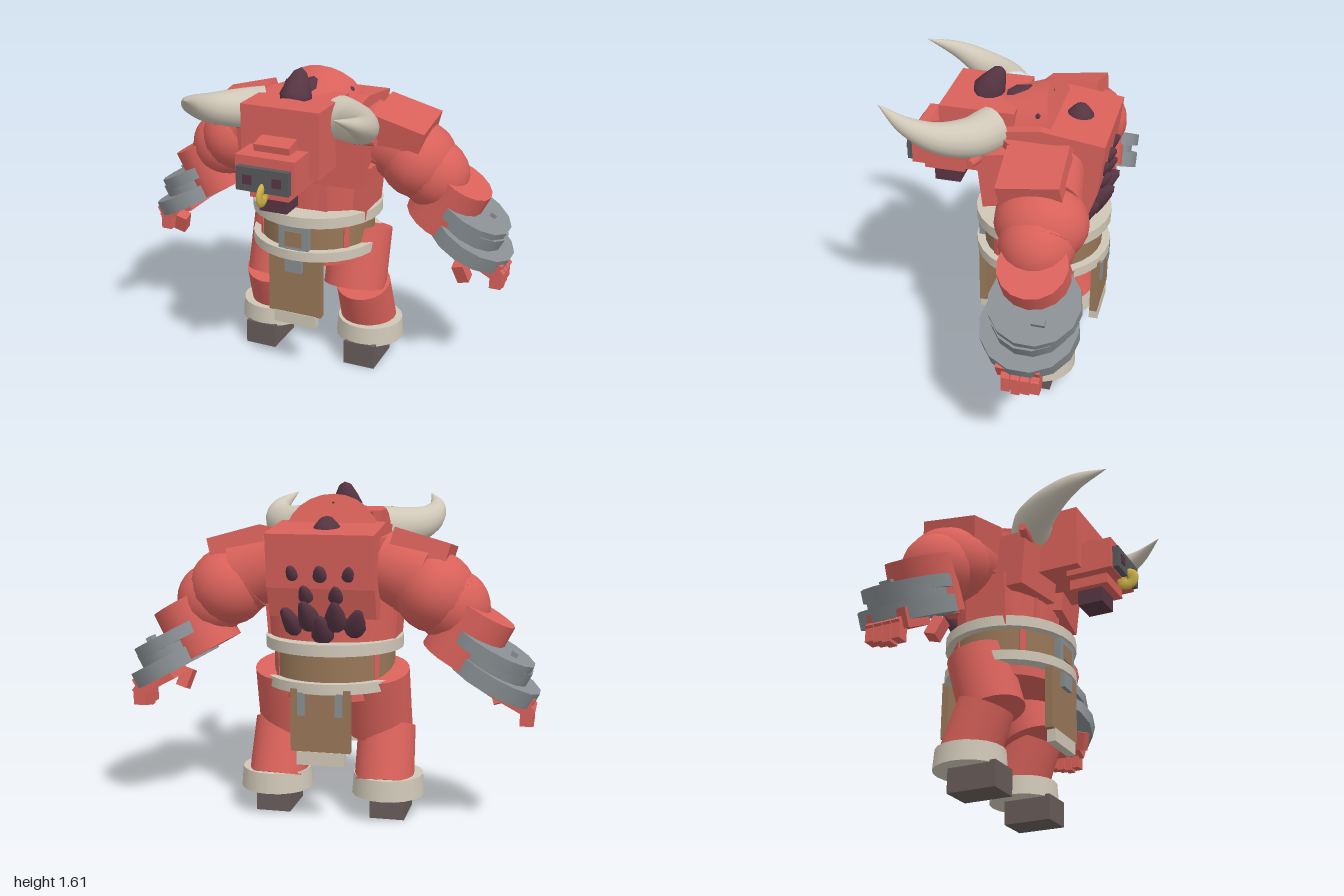
import * as THREE from 'three';

const mat = (name, color) => {
  const m = new THREE.MeshStandardMaterial({ color });
  m.name = name;
  return m;
};

export function createModel() {
  const model = new THREE.Group();
  model.name = 'hornedBrute';
  const skin = mat('red skin', 0xd8615a);
  const fur = mat('pale fur and horn', 0xcfc7b7);
  const leather = mat('brown leather', 0x987758);
  const steel = mat('grey steel', 0x888e92);
  const hoofMat = mat('dark hoof', 0x675c5a);
  const spikeMat = mat('dark purple spike', 0x573543);
  const gold = mat('gold', 0xcfb249);
  const noseMat = mat('nose grey', 0x59595c);

  const add = (name, geo, m, pos = [0, 0, 0], rot = [0, 0, 0]) => {
    const mesh = new THREE.Mesh(geo, m);
    mesh.name = name;
    mesh.position.set(...pos);
    mesh.rotation.set(...rot);
    model.add(mesh);
    return mesh;
  };
  const box = (name, m, size, pos, rot) => add(name, new THREE.BoxGeometry(...size), m, pos, rot);
  // Tapered cylinder running from point a to point b
  const rod = (name, m, a, b, ra, rb, sides = 24) => {
    const A = new THREE.Vector3(...a), B = new THREE.Vector3(...b);
    const dir = B.clone().sub(A);
    const mesh = add(name, new THREE.CylinderGeometry(rb, ra, dir.length(), sides), m);
    mesh.position.copy(A).add(B).multiplyScalar(0.5);
    mesh.quaternion.setFromUnitVectors(new THREE.Vector3(0, 1, 0), dir.normalize());
    return mesh;
  };
  // Bullet-shaped spike
  const spike = (pos, dir, r, h) => {
    const pts = [[r * 0.9, -h * 0.1], [r, 0.08 * h], [r * 0.75, h * 0.45], [r * 0.4, h * 0.85], [0, h]].map(p => new THREE.Vector2(...p));
    const mesh = add('spike', new THREE.LatheGeometry(pts, 12), spikeMat, pos);
    mesh.quaternion.setFromUnitVectors(new THREE.Vector3(0, 1, 0), new THREE.Vector3(...dir).normalize());
  };

  // Torso: round trunk plus a hunched upper back cut from a side profile (z, y)
  const trunk = add('trunk', new THREE.CylinderGeometry(0.34, 0.31, 0.54, 24), skin, [0, 1.1, -0.19]);
  trunk.scale.z = 0.76;
  const hump = new THREE.Shape([[-0.2, 1.43], [-0.5, 1.39], [-0.475, 1.14], [-0.43, 1.0], [-0.1, 0.95], [0.02, 1.2], [0, 1.4]]
    .map(p => new THREE.Vector2(-p[0], p[1])));
  const humpGeo = new THREE.ExtrudeGeometry(hump, { depth: 0.51, bevelEnabled: false });
  humpGeo.translate(0, 0, -0.255).rotateY(Math.PI / 2);
  add('upperBack', humpGeo, skin);
  rod('neck', skin, [0, 1.275, 0], [0, 1.37, -0.26], 0.2, 0.2).scale.x = 1.12;

  // Head
  box('skull', skin, [0.4, 0.325, 0.36], [0, 1.31, 0.115]);
  box('snoutBridge', skin, [0.18, 0.08, 0.12], [0, 1.29, 0.32], [0.2, 0, 0]);
  box('snout', skin, [0.3, 0.165, 0.24], [0, 1.2, 0.335]);
  box('jaw', skin, [0.2, 0.07, 0.2], [0, 1.1, 0.31]);
  box('chinTuft', spikeMat, [0.14, 0.09, 0.13], [0, 1.03, 0.305]);
  box('nosePlate', noseMat, [0.265, 0.115, 0.035], [0, 1.18, 0.468]);
  const ring = add('noseRing', new THREE.TorusGeometry(0.03, 0.028, 12, 28), gold, [0, 1.112, 0.482], [0, Math.PI / 2, 0]);
  ring.scale.z = 0.45;

  for (const s of [1, -1]) {
    box('nostril', spikeMat, [0.045, 0.045, 0.008], [0.075 * s, 1.18, 0.488]);
    rod('ear', skin, [0.17 * s, 1.3, 0.04], [0.4 * s, 1.3, 0.09], 0.045, 0.02, 8);

    // Curved horn: a tube whose rings shrink towards the tip
    const path = new THREE.CatmullRomCurve3([[0.195, 1.385, 0.04], [0.3, 1.385, 0.105], [0.39, 1.41, 0.235], [0.415, 1.465, 0.38], [0.365, 1.53, 0.53]]
      .map(p => new THREE.Vector3(p[0] * s, p[1], p[2])));
    const N = 24, R = 16;
    const horn = new THREE.TubeGeometry(path, N, 0.1, R);
    const v = new THREE.Vector3(), pos = horn.attributes.position;
    for (let i = 0; i <= N; i++) {
      const c = path.getPointAt(i / N), k = 1.03 * (1 - Math.pow(i / N, 1.6)) + 0.005;
      for (let j = 0; j <= R; j++) {
        const n = i * (R + 1) + j;
        v.fromBufferAttribute(pos, n).sub(c).multiplyScalar(k).add(c);
        pos.setXYZ(n, v.x, v.y, v.z);
      }
    }
    add('horn', horn, fur);

    // Chest and belly muscles
    box('chestMuscle', skin, [0.29, 0.28, 0.22], [0.175 * s, 1.19, -0.02], [0.1, 0.15 * s, -0.05 * s]);
    for (const y of [0.93, 1.02]) box('bellyMuscle', skin, [0.12, 0.12, 0.1], [0.075 * s, y, -0.01]);
    box('sideMuscle', skin, [0.12, 0.28, 0.22], [0.26 * s, 0.98, -0.15], [0, 0, -0.08 * s]);

    // Shoulder and arm
    box('shoulder', skin, [0.27, 0.24, 0.29], [0.42 * s, 1.25, -0.23], [0.14, 0, -0.27 * s]);
    rod('shoulderJoint', skin, [0.24 * s, 1.24, -0.25], [0.44 * s, 1.17, -0.26], 0.16, 0.18);
    rod('upperArm', skin, [0.4 * s, 1.17, -0.26], [0.6 * s, 1.05, -0.28], 0.17, 0.165);
    const bicep = add('bicep', new THREE.SphereGeometry(0.19, 20, 14), skin, [0.5 * s, 1.115, -0.27]);
    bicep.scale.z = 1.14;
    add('elbow', new THREE.SphereGeometry(0.175, 20, 14), skin, [0.585 * s, 1.05, -0.27]);
    rod('forearm', skin, [0.6 * s, 0.8, -0.29], [0.735 * s, 1.04, -0.285], 0.17, 0.16, 16);

    // Stacked bracer plates, tilted down on the outside
    const tilt = -0.49 * s;
    const plate = (r, h, x, y, z) => add('bracerPlate', new THREE.CylinderGeometry(r, r, h, 14), steel, [x * s, y, z], [0, 0, tilt]);
    plate(0.21, 0.06, 0.775, 0.865, -0.31);
    plate(0.185, 0.1, 0.78, 0.8, -0.3);
    plate(0.225, 0.08, 0.785, 0.735, -0.29);
    box('bracerBuckle', steel, [0.03, 0.03, 0.06], [0.88 * s, 0.85, -0.35], [0, 0, tilt]);

    // Hand
    box('palm', skin, [0.2, 0.09, 0.2], [0.87 * s, 0.655, -0.28], [0, 0, tilt]);
    for (let i = 0; i < 4; i++) {
      const z = -0.225 - i * 0.045;
      box('knuckle', skin, [0.08, 0.055, 0.04], [0.935 * s, 0.605, z], [0, 0, -0.8 * s]);
      box('finger', skin, [0.06, 0.085, 0.04], [0.943 * s, 0.545 + Math.abs(i - 1) * 0.01, z]);
    }
    box('thumb', skin, [0.06, 0.1, 0.06], [0.79 * s, 0.615, -0.13], [0.3, 0, 0.3 * s]);

    // Leg
    rod('thigh', skin, [0.22 * s, 0.425, -0.15], [0.218 * s, 0.73, -0.235], 0.162, 0.16);
    rod('shin', skin, [0.265 * s, 0.18, -0.26], [0.26 * s, 0.44, -0.165], 0.145, 0.14);
    add('ankleFur', new THREE.CylinderGeometry(0.17, 0.178, 0.1, 20), fur, [0.28 * s, 0.17, -0.23]);
    box('hoof', hoofMat, [0.17, 0.13, 0.25], [0.285 * s, 0.065, -0.175]);
  }

  // Belt: leather band between two fur rims, with skin showing at the seams
  const band = (name, m, r, h, y) => add(name, new THREE.CylinderGeometry(r, r, h, 28), m, [0, y, -0.17]);
  band('belt', leather, 0.295, 0.16, 0.765);
  band('beltTopFur', fur, 0.335, 0.055, 0.857);
  band('beltLowerFur', fur, 0.335, 0.05, 0.675);
  band('hips', skin, 0.27, 0.08, 0.64);
  for (const a of [0.9, 2.2, -0.9, -2.2]) {
    box('beltSeam', skin, [0.03, 0.14, 0.008], [0.295 * Math.sin(a), 0.765, -0.17 + 0.295 * Math.cos(a)], [0, a, 0]);
  }
  box('buckle', steel, [0.16, 0.14, 0.04], [0, 0.76, 0.125]);
  box('buckleInset', leather, [0.09, 0.08, 0.008], [0, 0.757, 0.148]);
  box('buckleStrap', steel, [0.09, 0.13, 0.03], [0, 0.64, 0.135]);

  // Loincloth flaps, front and back
  box('frontFlap', leather, [0.285, 0.34, 0.038], [0, 0.505, 0.11]);
  box('frontFlapFur', fur, [0.23, 0.065, 0.045], [0, 0.305, 0.11]);
  box('backFlap', leather, [0.285, 0.3, 0.038], [0, 0.52, -0.465]);
  box('backFlapFur', fur, [0.23, 0.065, 0.045], [0, 0.337, -0.463]);
  for (const s of [1, -1]) box('backStrap', steel, [0.035, 0.11, 0.02], [0.09 * s, 0.6, -0.485]);

  // Spikes along the head and spine
  spike([0, 1.47, 0.11], [0, 0.135, -0.065], 0.08, 0.15);
  spike([0, 1.435, -0.03], [0, 0.42, -0.9], 0.075, 0.2);
  spike([0, 1.4, -0.335], [0, 1, -0.1], 0.068, 0.065);
  for (const s of [1, -1]) {
    spike([0.14 * s, 1.43, -0.17], [0.6 * s, 0.6, -0.1], 0.036, 0.06);
    spike([0.13 * s, 1.2, -0.46], [0.2 * s, 0.8, -0.9], 0.035, 0.065);
    spike([0.07 * s, 1.1, -0.45], [0.1 * s, 0.8, -0.9], 0.038, 0.08);
    spike([0.14 * s, 0.95, -0.38], [0.35 * s, 0.8, -0.8], 0.055, 0.14);
    spike([0.06 * s, 0.98, -0.42], [0.12 * s, 0.8, -0.8], 0.055, 0.15);
  }
  spike([0, 1.2, -0.46], [0, 0.7, -0.9], 0.04, 0.07);
  spike([0, 0.92, -0.4], [0, 0.7, -0.8], 0.06, 0.14);

  return model;
}
